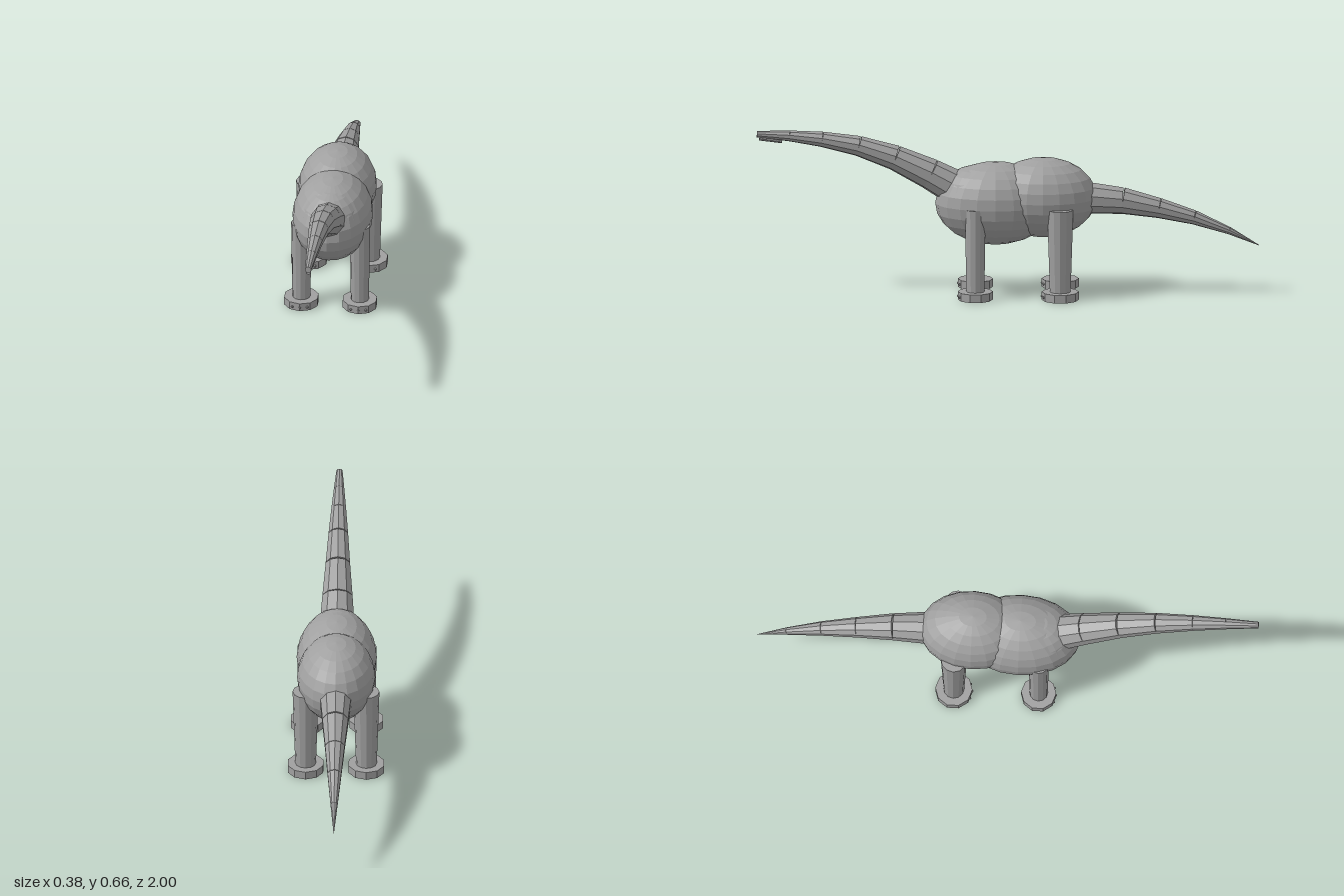
import * as THREE from 'three';

export function createModel() {
  const group = new THREE.Group();
  const skin = new THREE.MeshStandardMaterial({ color: 0xa0a0a0, flatShading: true });
  skin.name = 'grey skin';

  const add = (name, geometry, x = 0, y = 0, z = 0) => {
    const mesh = new THREE.Mesh(geometry, skin);
    mesh.name = name;
    mesh.position.set(x, y, z);
    group.add(mesh);
    return mesh;
  };

  const ellipsoid = (name, y, z, rx, ry, rz) =>
    add(name, new THREE.SphereGeometry(1, 20, 12).scale(rx, ry, rz), 0, y, z);

  // Straight tapered link between two stations [z, y, radius]
  const up = new THREE.Vector3(0, 1, 0);
  const link = (name, [z0, y0, r0], [z1, y1, r1], sides = 10) => {
    const dir = new THREE.Vector3(0, y1 - y0, z1 - z0);
    const geometry = new THREE.CylinderGeometry(r1, r0, dir.length(), sides);
    const mesh = add(name, geometry, 0, (y0 + y1) / 2, (z0 + z1) / 2);
    mesh.quaternion.setFromUnitVectors(up, dir.normalize());
  };
  const chain = (name, stations) => {
    for (let i = 1; i < stations.length; i++) link(name + i, stations[i - 1], stations[i]);
  };

  // Body
  ellipsoid('ribcage', 0.368, 0.05, 0.16, 0.166, 0.24);
  ellipsoid('hips', 0.392, -0.14, 0.156, 0.16, 0.214);
  ellipsoid('shoulders', 0.4, 0.12, 0.13, 0.121, 0.15);

  // Neck runs forward into the narrow head, tail runs back to a point
  chain('neck', [
    [0.2, 0.425, 0.072], [0.31, 0.486, 0.063], [0.45, 0.552, 0.051],
    [0.595, 0.6, 0.041], [0.74, 0.627, 0.031], [0.87, 0.641, 0.022],
  ]);
  link('head', [0.87, 0.641, 0.022], [1, 0.648, 0.013]);
  link('jaw', [0.9, 0.617, 0.006], [0.99, 0.632, 0.01], 8);
  chain('tail', [
    [-0.27, 0.392, 0.068], [-0.455, 0.377, 0.054], [-0.6, 0.347, 0.041],
    [-0.74, 0.309, 0.029], [-0.88, 0.255, 0.015], [-1, 0.195, 0.001],
  ]);

  // Legs with flat round feet and three toe studs each
  const legs = [
    { name: 'front', x: 0.117, z: 0.13, top: 0.041, bottom: 0.036, foot: 0.07 },
    { name: 'hind', x: 0.121, z: -0.208, top: 0.052, bottom: 0.041, foot: 0.074 },
  ];
  for (const leg of legs) {
    for (const [side, sx] of [['Left', 1], ['Right', -1]]) {
      const x = sx * leg.x;
      add(leg.name + side + 'Leg',
        new THREE.CylinderGeometry(leg.top, leg.bottom, 0.347, 12), x, 0.1935, leg.z);
      add(leg.name + side + 'Foot',
        new THREE.CylinderGeometry(leg.foot, leg.foot, 0.033, 10), x, 0.0165, leg.z);
      for (const dx of [-0.03, 0, 0.03]) {
        const dz = Math.sqrt(leg.foot ** 2 - dx ** 2) - 0.001;
        add(leg.name + side + 'Toe', new THREE.SphereGeometry(0.005, 8, 6), x + dx, 0.015, leg.z + dz);
      }
    }
  }
  return group;
}
